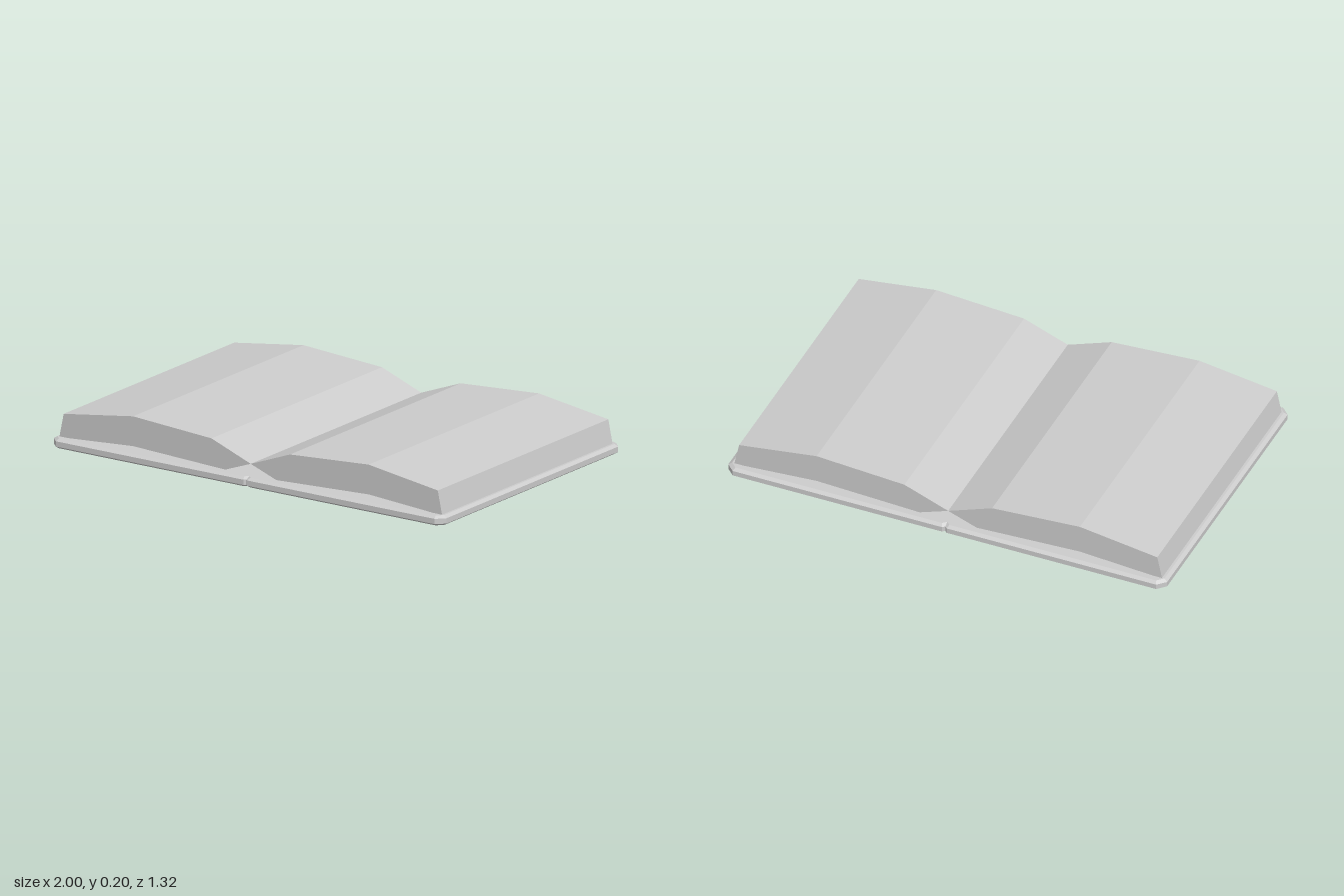
import * as THREE from 'three';

// Extrudes an outline along z, centred on z = 0
function prism(points, depth, bevel = {}) {
  const shape = new THREE.Shape(points.map(([x, y]) => new THREE.Vector2(x, y)));
  const geometry = new THREE.ExtrudeGeometry(shape, { depth, bevelEnabled: false, ...bevel });
  return geometry.translate(0, 0, -depth / 2);
}

export function createModel() {
  const book = new THREE.Group();
  book.name = 'openBook';
  const paper = new THREE.MeshStandardMaterial({ color: 0xcccccc });
  paper.name = 'light grey';

  // Cover: thin bevelled board with clipped corners and a small nick at each end of the spine
  const w = 1, d = 0.66, c = 0.035, n = 0.01;
  const edge = [[-w, -d + c], [-w + c, -d], [-n, -d], [0, -d + n], [n, -d], [w - c, -d], [w, -d + c]];
  const outline = [...edge, ...edge.map(([x, z]) => [-x, -z])];
  const board = prism(outline, 0.023, {
    bevelEnabled: true, bevelThickness: 0.01, bevelSize: 0.015, bevelOffset: -0.015, bevelSegments: 1,
  });
  board.rotateX(-Math.PI / 2).translate(0, 0.0215, 0);
  const cover = new THREE.Mesh(board, paper);
  cover.name = 'cover';
  book.add(cover);

  // Page blocks: arched on top and hollow beneath, meeting at the spine
  const profile = [
    [0, 0.094], [0.13, 0.046], [0.6, 0.066], [0.975, 0.04],
    [0.953, 0.145], [0.6, 0.196], [0.2, 0.17],
  ];
  for (const side of [1, -1]) {
    const block = new THREE.Mesh(prism(profile.map(([x, y]) => [side * x, y]), 1.24), paper);
    block.name = side > 0 ? 'leftPages' : 'rightPages';
    book.add(block);
  }
  return book;
}
